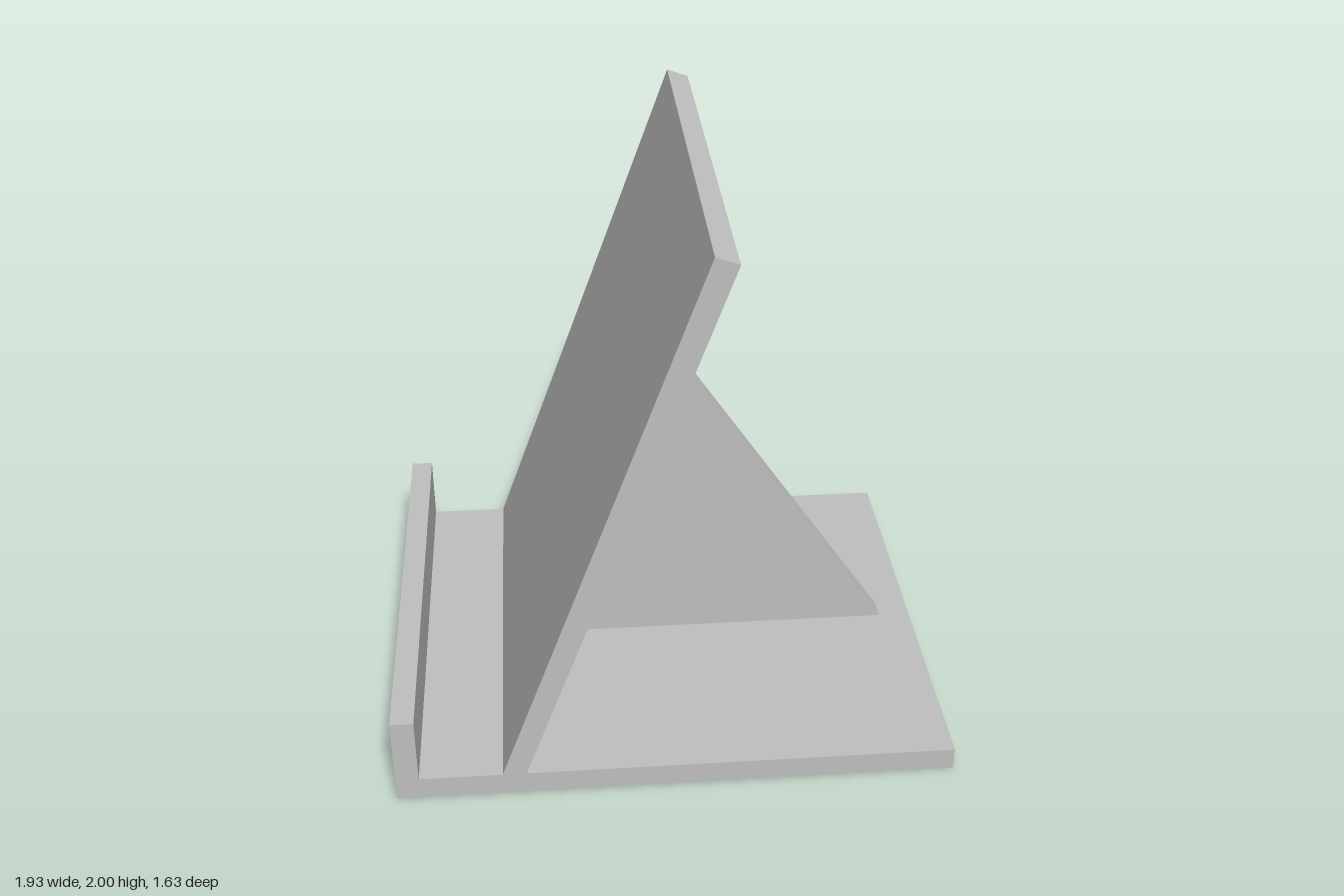
import * as THREE from 'three';

export function createModel() {
  const model = new THREE.Group();
  const grey = new THREE.MeshStandardMaterial({ color: 0xc0c0c0 });
  grey.name = 'light grey';

  const fullDepth = 1.63;
  const ribDepth = 0.08;

  // Extrudes a side profile along z, centred on z = 0
  function addPart(name, points, depth) {
    const shape = new THREE.Shape(points.map(([x, y]) => new THREE.Vector2(x, y)));
    const geometry = new THREE.ExtrudeGeometry(shape, { depth, bevelEnabled: false });
    geometry.translate(0, 0, -depth / 2);
    const mesh = new THREE.Mesh(geometry, grey);
    mesh.name = name;
    model.add(mesh);
  }

  // Flat base with an upturned retaining lip
  addPart('baseWithLip', [
    [-0.967, 0], [0.967, 0], [0.967, 0.082], [-0.887, 0.082],
    [-0.887, 0.328], [-0.967, 0.328],
  ], fullDepth);

  // Leaning back rest, its top edge square to the slope
  addPart('backRest', [
    [-0.602, 0.082], [-0.52, 0.082], [0.17, 1.973], [0.094, 2],
  ], fullDepth);

  // Triangular support rib behind the back rest
  addPart('supportRib', [
    [-0.52, 0.082], [0.85, 0.082], [-0.04, 1.397],
  ], ribDepth);

  return model;
}
